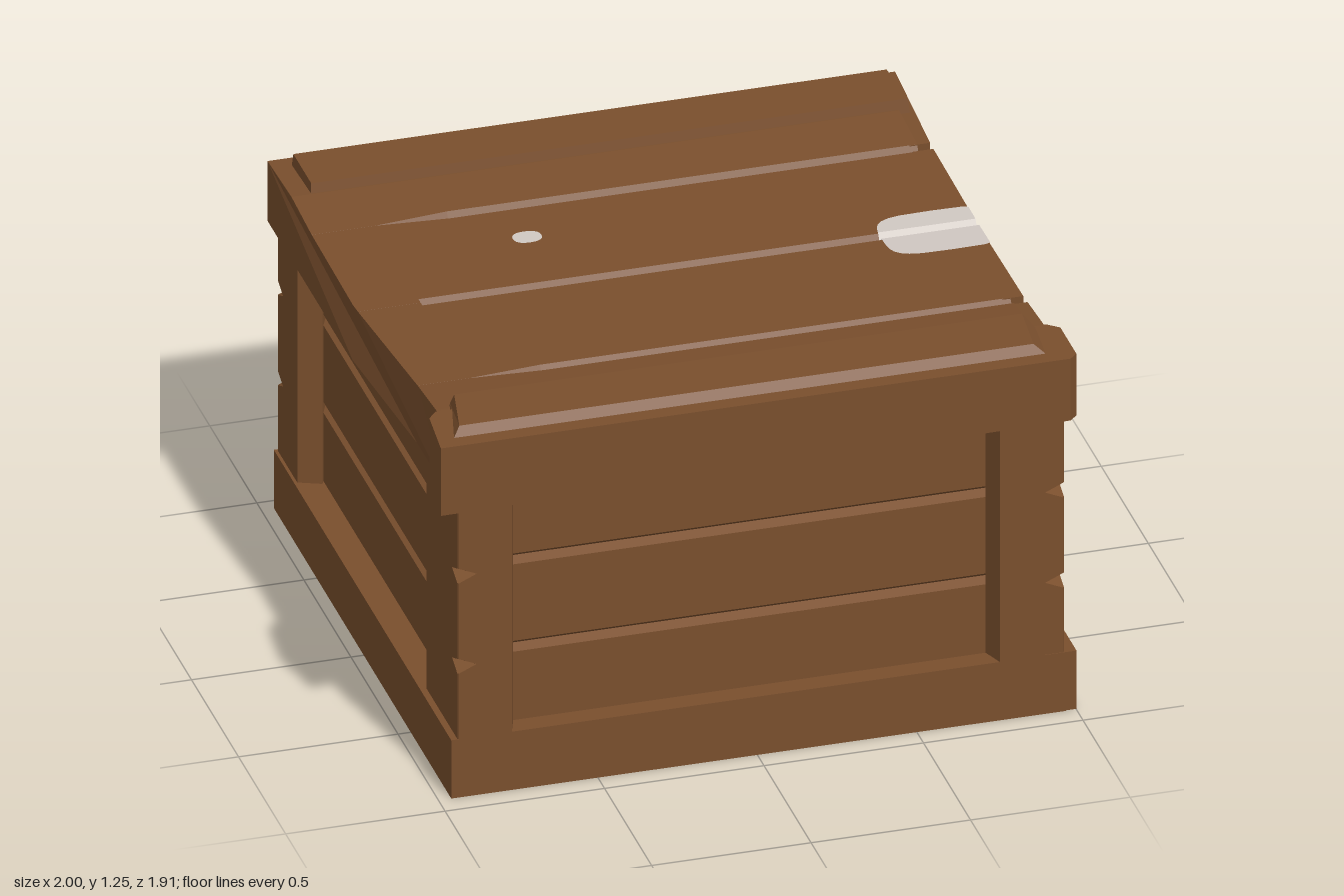
import * as THREE from 'three';

const wood = new THREE.MeshStandardMaterial({ color: 0x7a4f2d });
wood.name = 'brown wood';
const paint = new THREE.MeshStandardMaterial({ color: 0xd0c8c2, side: THREE.DoubleSide });
paint.name = 'pale paint';

// Joins cross-sections along an axis and caps the ends, with flat faces.
// Ring points are [y, z] for axis x, [x, z] for axis y, [x, y] for axis z.
// A third number overrides the position along the axis.
function loft(name, axis, sections) {
  let rings = sections.map(([w, pts]) => pts.map(([a, b, own = w]) =>
    axis === 'y' ? [b, a, own] : [a, b, own]));
  const flat = ring => ring.map(p => new THREE.Vector2(p[0], p[1]));
  if (THREE.ShapeUtils.area(flat(rings[0])) < 0) rings = rings.map(r => r.reverse());
  const place = {
    x: ([u, v, w]) => [w, u, v],
    y: ([u, v, w]) => [v, w, u],
    z: ([u, v, w]) => [u, v, w],
  }[axis];
  const out = [];
  const tri = (...pts) => pts.forEach(p => out.push(...place(p)));
  for (let k = 0; k < rings.length - 1; k++) {
    const a = rings[k], b = rings[k + 1];
    a.forEach((p, i) => {
      const j = (i + 1) % a.length;
      tri(p, a[j], b[j]);
      tri(p, b[j], b[i]);
    });
  }
  const first = rings[0], last = rings[rings.length - 1];
  for (const [i, j, k] of THREE.ShapeUtils.triangulateShape(flat(first), [])) tri(first[i], first[k], first[j]);
  for (const [i, j, k] of THREE.ShapeUtils.triangulateShape(flat(last), [])) tri(last[i], last[j], last[k]);
  return finish(name, out, wood);
}

function finish(name, positions, material) {
  const geo = new THREE.BufferGeometry();
  geo.setAttribute('position', new THREE.Float32BufferAttribute(positions, 3));
  geo.computeVertexNormals();
  const mesh = new THREE.Mesh(geo, material);
  mesh.name = name;
  return mesh;
}

// Sagging height of the lid from back to front
const sag = [[-0.955, 1.195], [-0.7, 1.207], [-0.48, 1.19], [0, 1.18], [0.5, 1.19], [0.7, 1.21], [0.8, 1.215]];
function lidHeight(z) {
  for (let i = 1; i < sag.length; i++) {
    const [z0, y0] = sag[i - 1], [z1, y1] = sag[i];
    if (z <= z1) return y0 + (y1 - y0) * (z - z0) / (z1 - z0);
  }
  return 1.215;
}

// V-shaped plank joints across a surface running along z
const joints = [-0.485, -0.005, 0.505];
function grooved(height, zBack, zFront, outer, middle, depth) {
  const pts = [[height(zBack), zBack]];
  joints.forEach((z, i) => {
    const k = Math.max(i === 1 ? middle : outer, 0.01);
    if (i === 0 && zFront === 0.8) pts.push([height(-0.7), -0.7]);
    if (i === 1) pts.push([height(-0.05), -0.05]);
    pts.push([height(z - 0.022 * k), z - 0.022 * k], [height(z) + depth * k, z],
      [height(z + 0.018 * k), z + 0.018 * k]);
  });
  if (zFront === 0.8) pts.push([height(0.7), 0.7]);
  pts.push([height(zFront), zFront]);
  return pts;
}

function makeLid() {
  const lid = new THREE.Group();
  lid.name = 'lid';
  const ring = (outer, middle) => [
    ...grooved(lidHeight, -0.955, 0.8, outer, middle, -0.03),
    [0.99, 0.8], [0.99, 0.5], [0.99, -0.05], [0.99, -0.955]];
  const leftEdge = z => -0.98 + 0.04 * THREE.MathUtils.clamp((z + 0.05) / 0.55, 0, 1);
  lid.add(loft('lidTop', 'x', [
    [-0.98, ring(0, 0).map(([y, z]) => [y, z, leftEdge(z)])],
    [-0.78, ring(0, 0)], [-0.78, ring(0, 1)], [-0.55, ring(1, 1)], [0.925, ring(1, 1)]]));

  // Plank ends on the right side, separated by open joints
  for (const [a, b] of [[-0.955, -0.505], [-0.47, -0.025], [0.02, 0.485], [0.53, 0.8]]) {
    const end = [[0.99, a], [lidHeight(a), a], [lidHeight(b), b], [0.99, b]];
    lid.add(loft('lidPlankEnd', 'x', [[0.9, end],
      [0.965, end.map(([y, z]) => [y, z, z < -0.9 ? 0.988 : 0.965])]]));
  }

  // Overhanging front lip with crooked ends
  const lip = [[-1, 0.955], [0.975, 0.955], [1, 0.93], [1, 0.76], [0.965, 0.73], [-0.95, 0.73], [-0.98, 0.765]];
  lid.add(loft('frontLip', 'y', [
    [1, lip.map(([x, z]) => [x, z, 1 + 0.01 * x])],
    [1.222, lip]]));

  // Raised battens with bevelled edges
  lid.add(loft('frontBatten', 'y', [
    [1.17, [[-0.95, 0.92], [0.93, 0.92], [0.94, 0.7], [-0.9, 0.68]]],
    [1.215, [[-0.95, 0.91], [0.92, 0.91], [0.935, 0.75], [0.91, 0.68], [-0.89, 0.68]].filter((p, i) => i !== 3)],
    [1.248, [[-0.92, 0.88], [0.88, 0.88], [0.9, 0.69], [-0.88, 0.69]]]]));
  lid.add(loft('backBatten', 'y', [
    [1.17, [[-0.92, -0.695], [0.962, -0.695], [0.962, -0.91], [-0.92, -0.91]]],
    [1.238, [[-0.915, -0.71], [0.955, -0.71], [0.945, -0.9], [-0.915, -0.9]]]]));
  return lid;
}

function makeBase() {
  const base = new THREE.Group();
  base.name = 'base';
  const ring = (outer, middle) => [
    ...grooved(() => 0, -0.955, 0.93, outer, middle, 0.025), [0.2, 0.93], [0.2, -0.955]];
  base.add(loft('baseFrame', 'x', [
    [-0.96, ring(0, 0)], [-0.78, ring(0, 0)], [-0.78, ring(0, 1)], [-0.55, ring(1, 1)],
    [0.6, ring(1, 1)], [0.6, ring(0, 0)],
    [0.965, ring(0, 0).map(([y, z]) => [y, z, z < -0.9 ? 0.985 : 0.967])]]));
  const block = [[0.9, 0.932], [1, 0.932], [1, 0.73], [0.972, 0.715], [0.975, 0.54], [0.9, 0.53]];
  base.add(loft('baseCornerBlock', 'y', [[0.003, block], [0.203, block]]));
  return base;
}

// Recessed wall of three planks; face is the outer position, side its direction
function makeWall(name, axis, face, side, half) {
  const ys = [0.15];
  const pts = [];
  const add = (d, y) => pts.push(axis === 'x' ? [y, face - side * d] : [face - side * d, y]);
  add(0.1, ys[0]);
  add(0, ys[0]);
  for (const y of [0.45, 0.75]) {
    add(0, y - 0.015);
    add(0.03, y);
    add(0, y + 0.022);
  }
  add(0, 1.02);
  add(0.1, 1.02);
  return loft(name, axis, [[-half, pts], [half, pts]]);
}

// Corner post with bevelled inner edges and notched outer corner
function makePost(name, X, Z, inX, inZ) {
  const sx = Math.sign(X), sz = Math.sign(Z), depth = 0.07;
  const ring = c => [
    [X - sx * c, Z], [inX, Z], [inX - sx * 0.025, Z - sz * depth],
    [X - sx * depth, inZ - sz * 0.03], [X, inZ], [X, Z - sz * c]];
  const sections = [[0.18, ring(0.004)]];
  for (const y of [0.45, 0.76]) {
    sections.push([y - 0.025, ring(0.004)], [y, ring(0.06)], [y + 0.025, ring(0.004)]);
  }
  sections.push([1.01, ring(0.004)]);
  return loft(name, 'y', sections);
}

// Thin rounded paint patch following the lid and its middle joint
function makePatch(name, cx, cz, a, b, power, maxX) {
  const zs = [-0.027, -0.005, 0.013].filter(z => Math.abs(z - cz) < b);
  for (let i = 0; i <= 16; i++) zs.push(cz - b * Math.cos(Math.PI * i / 16));
  zs.sort((p, q) => p - q);
  const height = z => {
    const joint = z < -0.005 ? (z + 0.027) / 0.022 : (0.013 - z) / 0.018;
    return lidHeight(z) - 0.03 * Math.max(0, joint) + 0.004;
  };
  const rows = zs.map(z => {
    const t = Math.min(1, Math.abs((z - cz) / b));
    const w = a * Math.pow(1 - Math.pow(t, power), 1 / power);
    return [[cx - w, height(z), z], [Math.min(cx + w, maxX), height(z), z]];
  });
  const out = [];
  for (let i = 0; i < rows.length - 1; i++) {
    const [p, q] = rows[i], [r, s] = rows[i + 1];
    out.push(...p, ...r, ...s, ...p, ...s, ...q);
  }
  return finish(name, out, paint);
}

export function createModel() {
  const crate = new THREE.Group();
  crate.name = 'crate';
  crate.add(makeBase(), makeLid());

  crate.add(
    makeWall('frontWall', 'x', 0.862, 1, 0.87),
    makeWall('backWall', 'x', -0.882, -1, 0.87),
    makeWall('leftWall', 'z', 0.892, 1, 0.86),
    makeWall('rightWall', 'z', -0.872, -1, 0.86));

  crate.add(
    makePost('frontLeftPost', 0.962, 0.93, 0.76, 0.71),
    makePost('frontRightPost', -0.94, 0.93, -0.77, 0.6),
    makePost('backLeftPost', 0.962, -0.95, 0.79, -0.73),
    makePost('backRightPost', -0.95, -0.95, -0.82, -0.74));

  // Paint on the lid and down the open joint
  crate.add(makePatch('largePaintPatch', 0.85, 0.015, 0.19, 0.125, 4, 0.966));
  crate.add(makePatch('smallPaintPatch', -0.362, -0.29, 0.045, 0.034, 2.4, 1));
  const drip = new THREE.Mesh(new THREE.BoxGeometry(0.006, 0.165, 0.03), paint);
  drip.name = 'paintDrip';
  drip.position.set(0.926, 1.078, -0.01);
  crate.add(drip);
  return crate;
}
